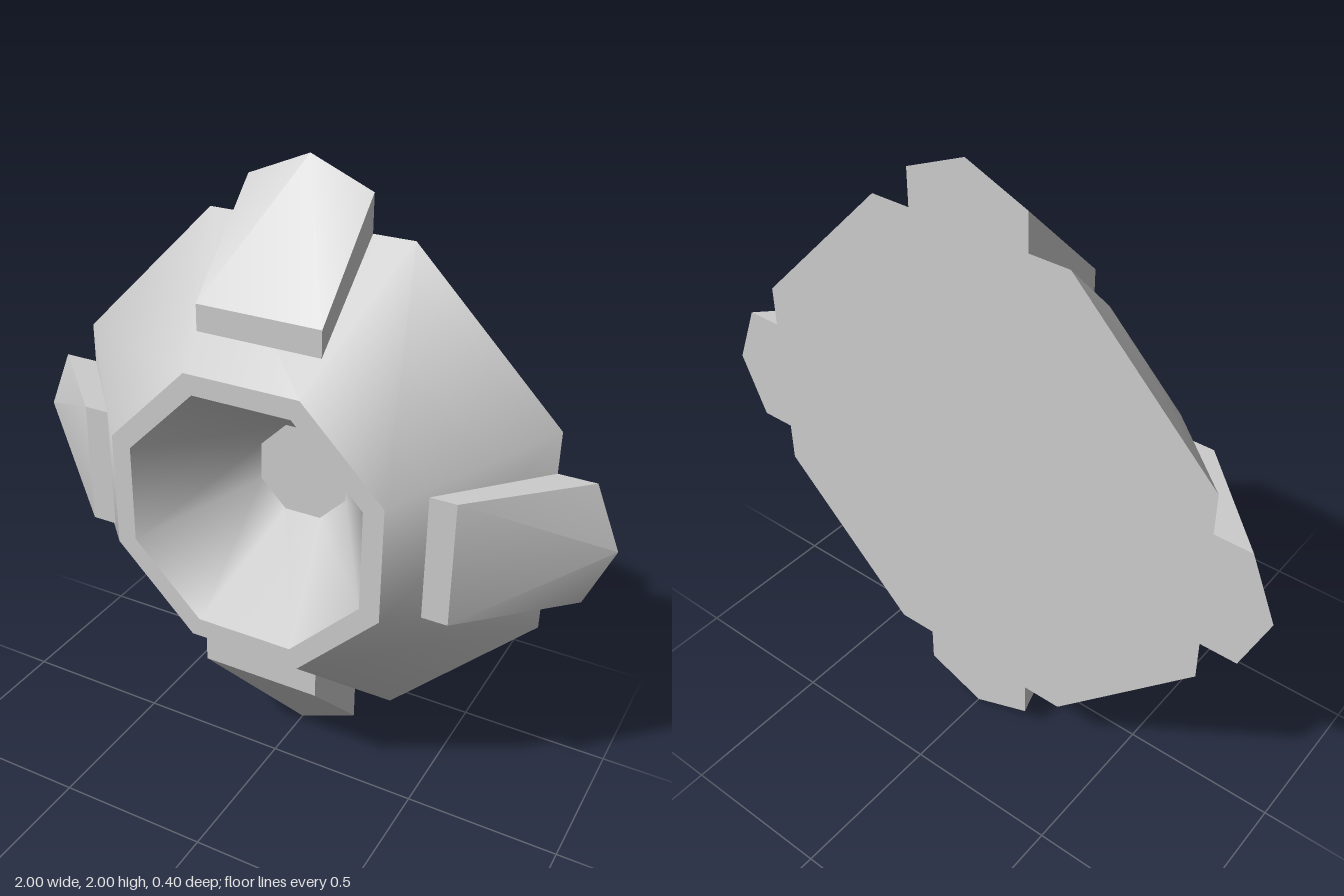
import * as THREE from 'three';
import { toCreasedNormals } from 'three/addons/utils/BufferGeometryUtils.js';

const material = new THREE.MeshStandardMaterial({ color: 0xcccccc });

// One eight-sided ring or disc between two [radius, z] points, facing +z along the axis
function octagonBand(name, [r0, z0], [r1, z1]) {
  const points = [new THREE.Vector2(r0, z0), new THREE.Vector2(r1, z1)];
  const geometry = new THREE.LatheGeometry(points, 8, Math.PI / 8);
  geometry.rotateX(Math.PI / 2);
  const mesh = new THREE.Mesh(geometry, material);
  mesh.name = name;
  return mesh;
}

// Wedge block lying on the sloping side, pointed at its outer end
function lugGeometry() {
  const w = 0.2, top = 0.1, back = -0.2;
  const corners = [
    -w, 0.5375, top, w, 0.5375, top, // inner edge 0 1
    -w, 0.62, top, w, 0.62, top, // front edge 2 3
    -w, 0.917, back, w, 0.917, back, 0, 1, back, // outer point 4 5 6
    -w, 0.8, back, w, 0.8, back, // back edge 7 8
  ];
  const faces = [
    0, 1, 3, 0, 3, 2, // flat front
    2, 3, 6, 2, 6, 4, 3, 5, 6, // slope
    1, 8, 5, 1, 5, 3, // side +x
    0, 2, 4, 0, 4, 7, // side -x
    7, 4, 6, 7, 6, 5, 7, 5, 8, // back
  ];
  const geometry = new THREE.BufferGeometry();
  geometry.setAttribute('position', new THREE.Float32BufferAttribute(corners, 3));
  geometry.setIndex(faces);
  return toCreasedNormals(geometry, Math.PI / 6);
}

export function createModel() {
  const model = new THREE.Group();
  model.name = 'octagonalSocket';

  // Body profile: back, sloping side, rim, funnel, floor
  const profile = [[0, -0.2], [0.866, -0.2], [0.487, 0.2], [0.418, 0.2], [0.163, -0.18], [0, -0.18]];
  ['backPlate', 'slopingSide', 'rim', 'funnel', 'funnelFloor'].forEach((name, i) => {
    model.add(octagonBand(name, profile[i], profile[i + 1]));
  });

  // Four lugs around the body
  const geometry = lugGeometry();
  ['topLug', 'rightLug', 'bottomLug', 'leftLug'].forEach((name, i) => {
    const lug = new THREE.Mesh(geometry, material);
    lug.name = name;
    lug.rotation.z = (i * Math.PI) / 2;
    model.add(lug);
  });

  model.children.forEach((part) => { part.position.y = 1; });
  return model;
}
